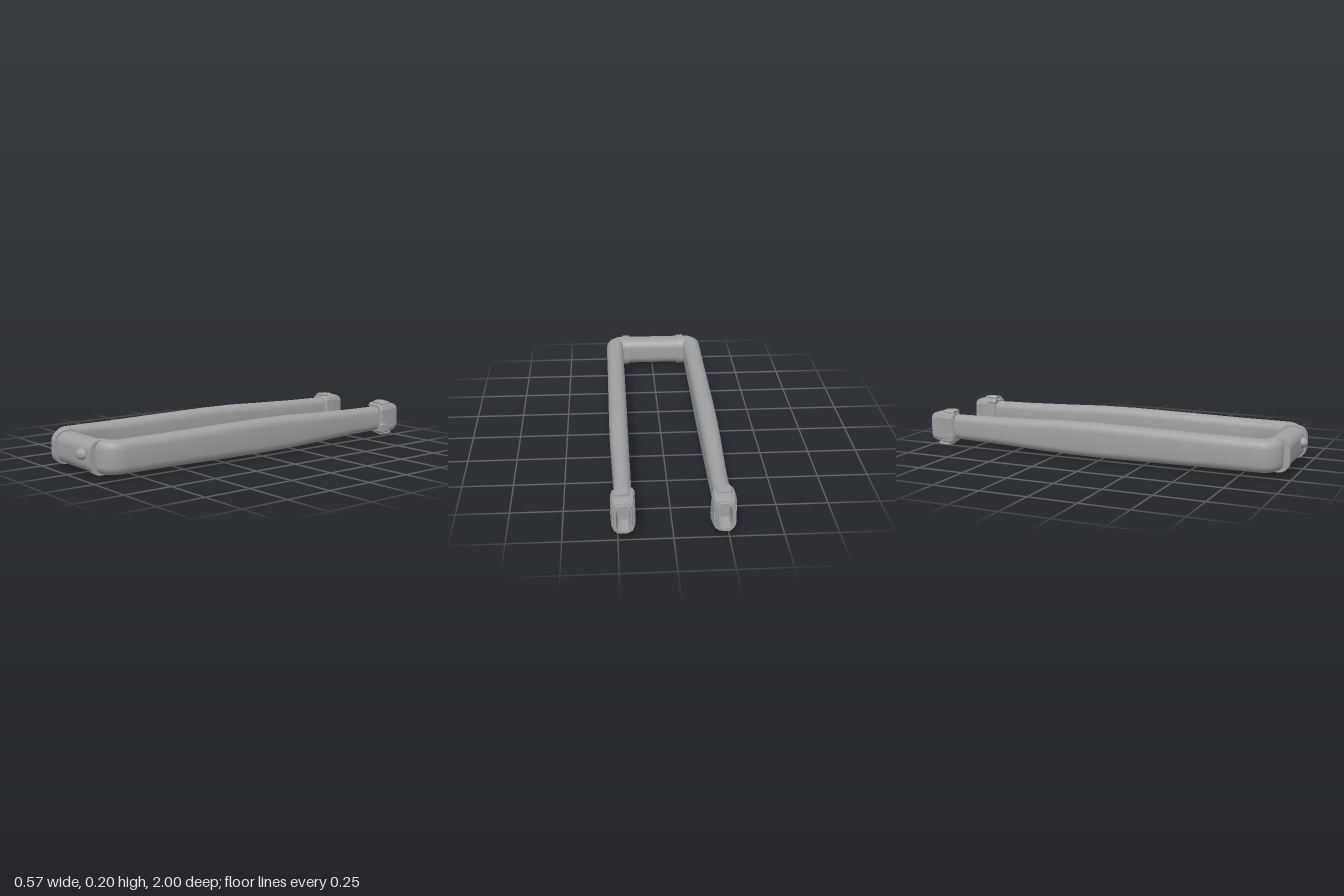
import * as THREE from 'three';
import { mergeVertices, toCreasedNormals } from 'three/addons/utils/BufferGeometryUtils.js';

const UP = new THREE.Vector3(0, 1, 0);

// Rounded-rectangle ring around centre c, facing travel direction t
function ring(c, t, w, h, r, n = 5, roll = 0, shear = 0) {
  const u = new THREE.Vector3().crossVectors(UP, t).normalize();
  const pts = [];
  r = Math.min(r, w / 2 - 0.001, h / 2 - 0.001);
  for (let k = 0; k < 4; k++) {
    const sx = k === 0 || k === 3 ? 1 : -1, sy = k < 2 ? 1 : -1;
    for (let i = 0; i <= n; i++) {
      const a = (k + i / n) * Math.PI / 2;
      const x = sx * (w / 2 - r) + r * Math.cos(a), y = sy * (h / 2 - r) + r * Math.sin(a);
      const p = c.clone().addScaledVector(u, x * Math.cos(roll) - y * Math.sin(roll));
      p.y += x * Math.sin(roll) + y * Math.cos(roll);
      p.addScaledVector(t, x * shear);
      pts.push(p);
    }
  }
  return pts;
}

// Skin a list of rings, closing both ends with fans
function loft(rings) {
  const pos = [], idx = [], n = rings[0].length;
  rings.forEach(r => r.forEach(p => pos.push(p.x, p.y, p.z)));
  for (let i = 0; i < rings.length - 1; i++) for (let j = 0; j < n; j++) {
    const a = i * n + j, b = i * n + (j + 1) % n;
    idx.push(a, b, b + n, a, b + n, a + n);
  }
  const last = (rings.length - 1) * n;
  for (let j = 1; j < n - 1; j++) {
    idx.push(0, j + 1, j);
    idx.push(last, last + j, last + j + 1);
  }
  const g = new THREE.BufferGeometry();
  g.setAttribute('position', new THREE.Float32BufferAttribute(pos, 3));
  g.setIndex(idx);
  return g;
}

const V = (x, y, z) => new THREE.Vector3(x, y, z);

export function createModel() {
  const grey = new THREE.MeshStandardMaterial({ color: 0xa0a0a0 });
  grey.name = 'plain grey';
  const model = new THREE.Group();
  model.name = 'uFrame';
  const add = (name, geo, crease = 0.6) => {
    const m = new THREE.Mesh(toCreasedNormals(geo, crease), grey);
    m.name = name;
    model.add(m);
    return m;
  };

  // Straight sleeve along x, used for the crossbar and its collars
  const sleeve = (x0, x1, y0, y1, z0, z1, r) => loft([x0, x1].map(x =>
    ring(V(x, (y0 + y1) / 2, (z0 + z1) / 2), V(1, 0, 0), z1 - z0, y1 - y0, r, 8)));
  add('crossbar', sleeve(-0.15, 0.145, 0.029, 0.182, 0.845, 0.968, 0.05));
  add('rightCollar', sleeve(-0.185, -0.147, 0.022, 0.189, 0.837, 0.977, 0.056));
  add('leftCollar', sleeve(0.141, 0.18, 0.022, 0.189, 0.837, 0.977, 0.056));

  // Pointed nub on the front of the crossbar
  const nub = mergeVertices(new THREE.SphereGeometry(1, 10, 8));
  const p = nub.attributes.position;
  for (let i = 0; i < p.count; i++) {
    const x = p.getX(i), taper = 1 - 0.3 * Math.max(x, 0);
    p.setXYZ(i, x * 0.037, p.getY(i) * 0.028 * taper, p.getZ(i) * 0.034 * taper);
  }
  nub.deleteAttribute('normal');
  nub.deleteAttribute('uv');
  add('nub', nub, 0.9).position.set(0.097, 0.117, 0.966);

  // Arms: z, width, bottom, top
  const stations = [
    [0.6, 0.096, 0.027, 0.191], [0.3, 0.096, 0.023, 0.195], [0, 0.096, 0.02, 0.198],
    [-0.2, 0.094, 0.022, 0.196], [-0.4, 0.09, 0.028, 0.188], [-0.65, 0.083, 0.037, 0.18],
    [-0.9, 0.078, 0.042, 0.175],
  ];
  for (const [s, name, cx] of [[1, 'left', 0.228], [-1, 'right', 0.236]]) {
    const R = 0.055, bx = cx - R, rings = [];
    rings.push(ring(V(s * 0.16, 0.108, 0.898), V(s, 0, 0), 0.1, 0.16, 0.042));
    for (let i = 0; i <= 8; i++) {
      const a = i / 8 * Math.PI / 2;
      rings.push(ring(V(s * (bx + R * Math.sin(a)), 0.109, 0.843 + R * Math.cos(a)),
        V(s * Math.cos(a), 0, -Math.sin(a)), 0.098, 0.162, 0.042));
    }
    for (const [z, w, y0, y1] of stations)
      rings.push(ring(V(s * (cx - 0.006 * THREE.MathUtils.smoothstep(-z, 0.2, 0.8)), (y0 + y1) / 2, z),
        V(0, 0, -1), w, y1 - y0, 0.042));
    add(name + 'Arm', loft(rings), 0.9);
  }

  // Faceted end sockets: z, width, height, corner, roll, shear
  const socket = [
    [-0.862, 0.088, 0.148, 0.026, 0.05, 0.12], [-0.872, 0.106, 0.168, 0.03, 0.05, 0.12],
    [-0.915, 0.112, 0.176, 0.032, 0.03, 0.06], [-0.955, 0.108, 0.168, 0.03, 0, 0],
    [-0.985, 0.1, 0.152, 0.03, 0, 0], [-0.985, 0.086, 0.146, 0.028, 0, 0],
    [-1, 0.082, 0.142, 0.028, 0, 0], [-1, 0.064, 0.12, 0.024, 0, 0],
    [-0.915, 0.054, 0.106, 0.022, 0, 0],
  ];
  // Lugs: x offset, y offset, z, width, height, depth, roll
  const lugs = {
    left: [[0.006, 0.086, -0.905, 0.078, 0.02, 0.07, -0.12], [-0.038, 0.07, -0.89, 0.036, 0.034, 0.055, 0.35],
      [0.004, -0.085, -0.925, 0.07, 0.02, 0.07, -0.1], [0.046, -0.052, -0.89, 0.022, 0.06, 0.07, -0.06]],
    right: [[-0.002, 0.085, -0.9, 0.076, 0.016, 0.07, 0.02], [0.036, 0.066, -0.915, 0.03, 0.03, 0.06, -0.4],
      [-0.004, -0.09, -0.925, 0.074, 0.018, 0.07, 0.06], [-0.042, -0.055, -0.9, 0.022, 0.06, 0.07, 0.08]],
  };
  for (const [s, name, cx, cy] of [[1, 'left', 0.224, 0.109], [-1, 'right', -0.23, 0.106]]) {
    add(name + 'Socket', loft(socket.map(([z, w, h, r, roll, shear]) =>
      ring(V(cx, cy, z), V(0, 0, -1), w, h, r, 2, s * roll, s * shear))), 0.2);
    for (const [x, y, z, w, h, d, roll] of lugs[name]) {
      const lug = loft([[0.5, 0.8], [0.2, 1], [-0.5, 0.85]].map(([k, f]) =>
        ring(V(0, 0, d * k), V(0, 0, -1), w * f, h * f, Math.min(w, h) * 0.35, 1)));
      const m = add(name + 'SocketLug', lug, 0.2);
      m.position.set(cx + x, cy + y, z);
      m.rotation.z = roll;
    }
  }
  return model;
}
